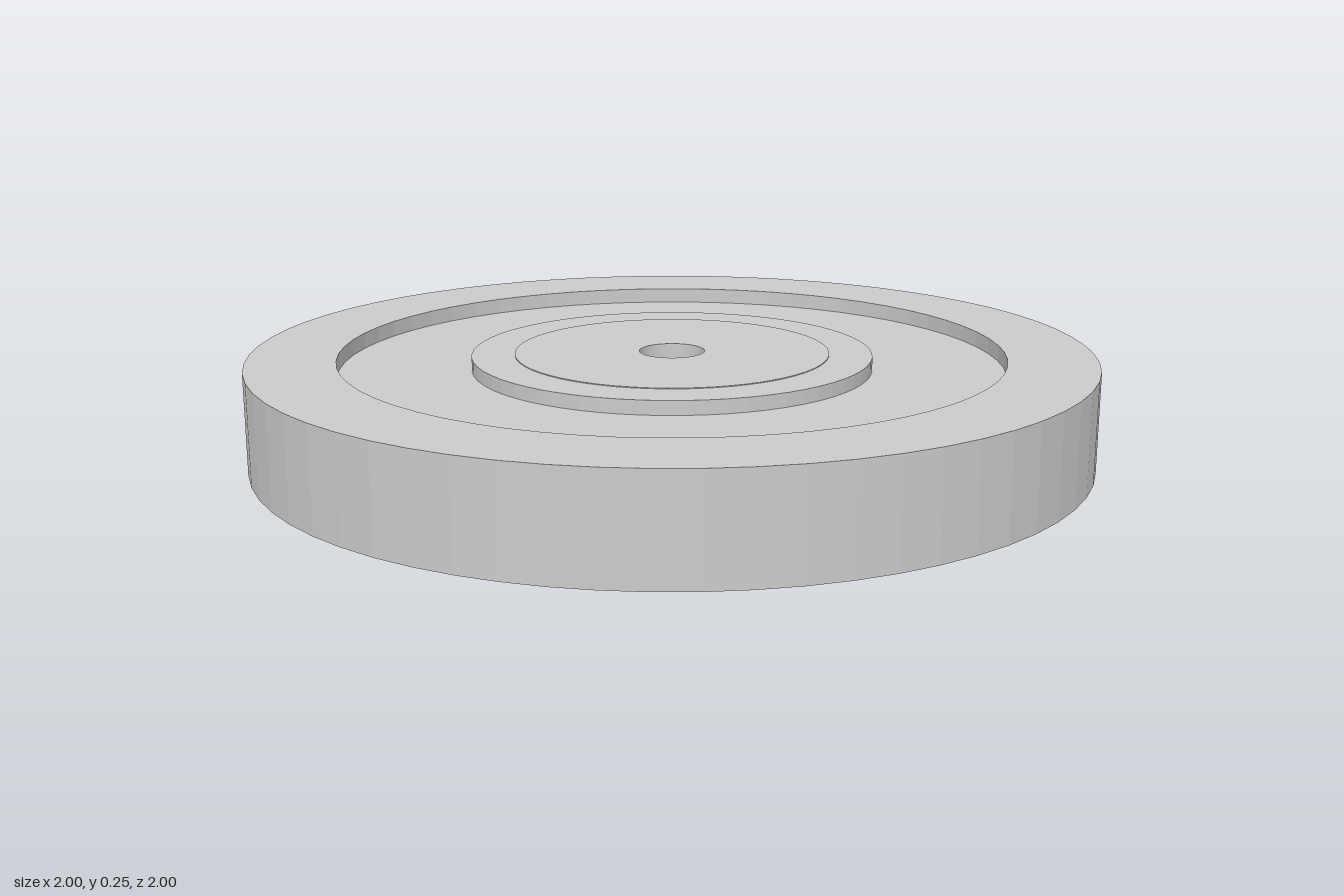
import * as THREE from 'three';

const SEGMENTS = 64;
const OUTER = 1, RIM_INNER = 0.79, HUB = 0.477, BOSS = 0.375, BORE = 0.078;
const RIM_BOTTOM = 0.005, RIM_TOP = 0.245;
const WEB_BOTTOM = 0.027, WEB_TOP = 0.207;
const HUB_TOP = 0.24, BOSS_TOP = 0.242;

export function createModel() {
  const model = new THREE.Group();
  model.name = 'wheel';
  const material = new THREE.MeshStandardMaterial({ color: 0xcccccc, flatShading: true });

  // Turns a [radius, height] profile, listed with the solid on its left
  function turned(name, profile) {
    const points = profile.map(([r, y]) => new THREE.Vector2(r, y));
    const mesh = new THREE.Mesh(new THREE.LatheGeometry(points, SEGMENTS), material);
    mesh.name = name;
    model.add(mesh);
  }

  // Heavy outer rim, open where the web joins it
  turned('rim', [
    [RIM_INNER, WEB_BOTTOM], [RIM_INNER, RIM_BOTTOM], [OUTER, RIM_BOTTOM],
    [OUTER, RIM_TOP], [RIM_INNER, RIM_TOP], [RIM_INNER, WEB_TOP],
  ]);

  // Recessed web between rim and hub
  turned('webTop', [[RIM_INNER, WEB_TOP], [HUB, WEB_TOP]]);
  turned('webBottom', [[HUB, WEB_BOTTOM], [RIM_INNER, WEB_BOTTOM]]);

  // Raised hub with a faint step on top and a through bore
  turned('hub', [
    [HUB, WEB_TOP], [HUB, HUB_TOP], [BOSS, HUB_TOP], [BOSS, BOSS_TOP],
    [BORE, BOSS_TOP], [BORE, 0], [HUB, 0], [HUB, WEB_BOTTOM],
  ]);

  return model;
}
